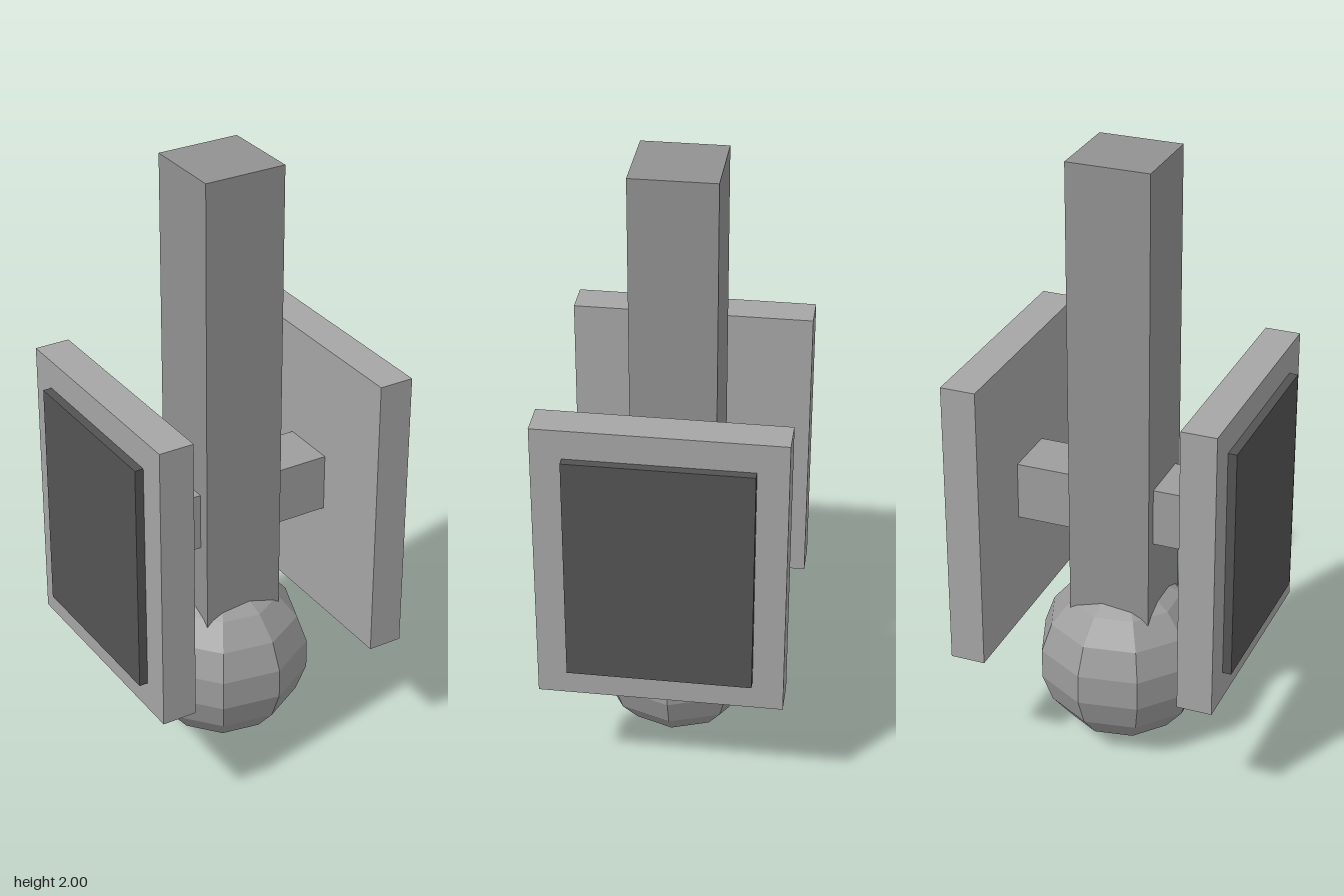
import * as THREE from 'three';

const paint = (color) => new THREE.MeshStandardMaterial({ color, flatShading: true });
const ballGrey = paint(0x9c9c9c);
const postGrey = paint(0x919191);
const barGrey = paint(0x9d9d9d);
const panelGrey = paint(0xa5a5a5);
const plateGrey = paint(0x535353);

function box(name, [w, h, d], [x, y, z], material) {
  const mesh = new THREE.Mesh(new THREE.BoxGeometry(w, h, d), material);
  mesh.name = name;
  mesh.position.set(x, y, z);
  return mesh;
}

export function createModel() {
  const model = new THREE.Group();
  const midY = 0.858;

  // Faceted ball at the foot, with a vertical edge facing +x
  const r = 0.285;
  const ball = new THREE.Mesh(new THREE.SphereGeometry(r, 9, 9).rotateY(Math.PI), ballGrey);
  ball.name = 'ball';
  ball.position.y = r;
  model.add(ball);

  // Square post rising out of the ball
  const postBottom = 0.4;
  model.add(box('post', [0.267, 2 - postBottom, 0.267], [0, (2 + postBottom) / 2, 0], postGrey));

  // Bar through the post that carries both side panels
  model.add(box('crossbar', [0.66, 0.19, 0.19], [0, midY, 0], barGrey));

  // Mirrored side panels with a dark raised plate on the outside
  for (const [side, s] of [['left', 1], ['right', -1]]) {
    model.add(box(side + 'Panel', [0.113, 0.95, 0.764], [s * 0.3815, midY, 0], panelGrey));
    model.add(box(side + 'Plate', [0.045, 0.76, 0.573], [s * 0.4435, midY, 0], plateGrey));
  }
  return model;
}
